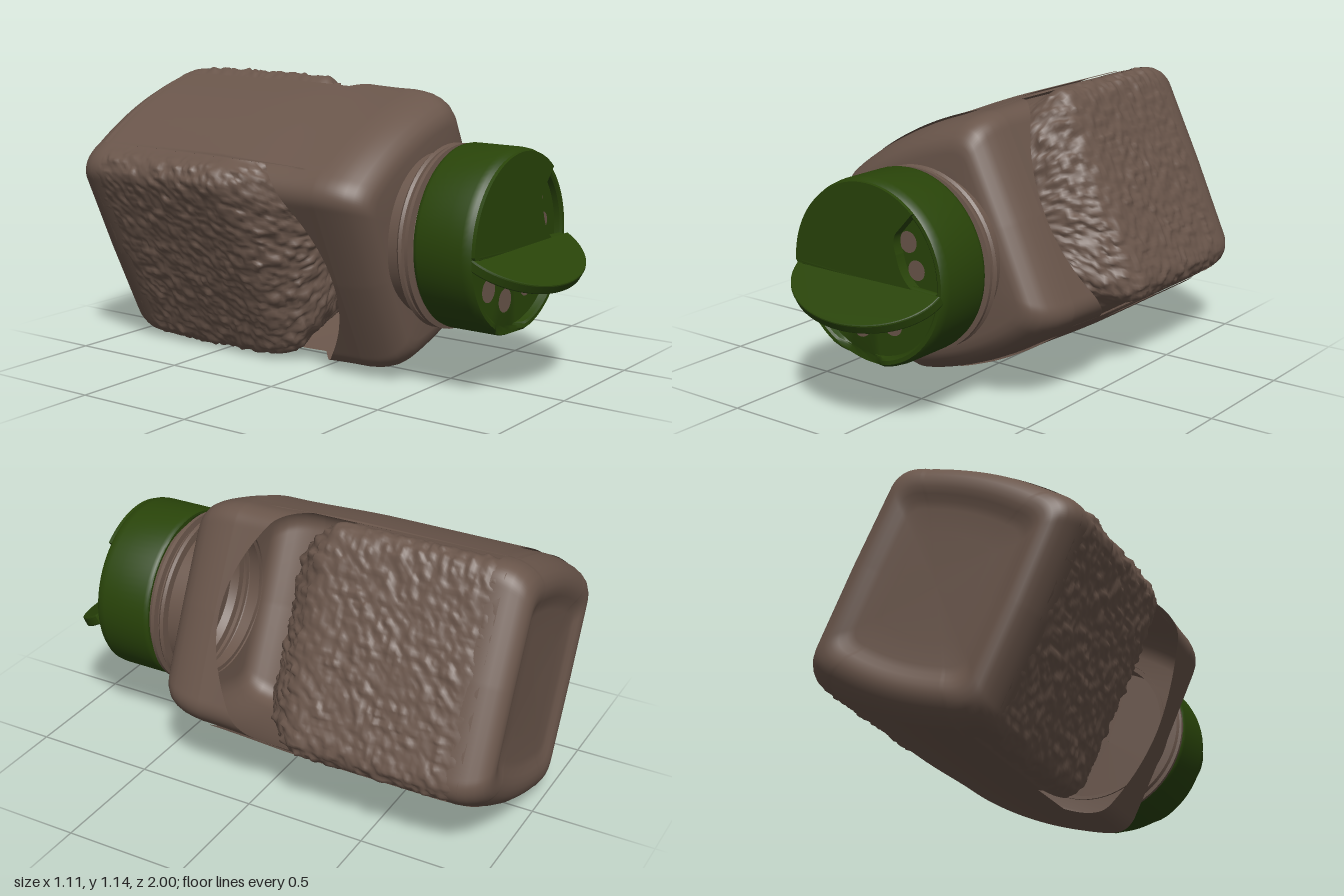
import * as THREE from 'three';
import { toCreasedNormals } from 'three/addons/utils/BufferGeometryUtils.js';

const N = 300;      // points around the bottle
const CY = 0.57;    // height of the bottle axis
const CUT = 0.29;   // half width of the top and bottom panels
const { lerp, smoothstep, degToRad } = THREE.MathUtils;

// Rounded cross-section, counter-clockwise from the middle of one side
function crossSection() {
  const s = new THREE.Shape();
  s.moveTo(0.415, 0);
  s.lineTo(0.41, 0.36);
  s.quadraticCurveTo(0.41, 0.435, 0.32, 0.455);
  s.quadraticCurveTo(0, 0.525, -0.32, 0.455);
  s.quadraticCurveTo(-0.41, 0.435, -0.41, 0.36);
  s.lineTo(-0.415, 0);
  s.lineTo(-0.41, -0.36);
  s.quadraticCurveTo(-0.41, -0.435, -0.32, -0.455);
  s.quadraticCurveTo(0, -0.525, 0.32, -0.455);
  s.quadraticCurveTo(0.41, -0.435, 0.41, -0.36);
  s.lineTo(0.415, 0);
  return s.getSpacedPoints(N).slice(0, N);
}

// Skin over rows of points; closed rows wrap around
function loft(rows, closed = true) {
  const n = rows[0].length, index = [];
  for (let i = 0; i < rows.length - 1; i++) {
    for (let j = 0; j < (closed ? n : n - 1); j++) {
      const k = (j + 1) % n;
      const a = i * n + j, b = i * n + k, c = (i + 1) * n + k, d = (i + 1) * n + j;
      index.push(a, b, c, a, c, d);
    }
  }
  const g = new THREE.BufferGeometry().setFromPoints(rows.flat());
  g.setIndex(index);
  g.computeVertexNormals();
  return g;
}

// Seeded value noise for the grainy filling
function hash(x, y, z) {
  const h = Math.sin(x * 127.1 + y * 311.7 + z * 74.7) * 43758.5453;
  return h - Math.floor(h);
}
function noise(x, y, z) {
  const X = Math.floor(x), Y = Math.floor(y), Z = Math.floor(z);
  const f = (t) => t * t * (3 - 2 * t);
  const u = f(x - X), v = f(y - Y), w = f(z - Z);
  const edge = (b, c) => lerp(hash(X, Y + b, Z + c), hash(X + 1, Y + b, Z + c), u);
  return lerp(lerp(edge(0, 0), edge(1, 0), v), lerp(edge(0, 1), edge(1, 1), v), w);
}

// Solid of revolution around z from [radius, z] pairs
function turned(points) {
  const g = new THREE.LatheGeometry(points.map((p) => new THREE.Vector2(...p)), 72);
  return g.rotateX(Math.PI / 2);
}

export function createModel() {
  const model = new THREE.Group();
  const brown = new THREE.MeshStandardMaterial({ color: 0x6a564b, side: THREE.DoubleSide });
  brown.name = 'brown';
  const green = new THREE.MeshStandardMaterial({ color: 0x294409, side: THREE.DoubleSide });
  green.name = 'green';

  const add = (parent, name, geometry, material) => {
    const m = new THREE.Mesh(geometry, material);
    m.name = name;
    parent.add(m);
    return m;
  };

  const bottle = new THREE.Group();
  bottle.name = 'bottle';
  bottle.position.y = CY;
  bottle.rotation.z = degToRad(25);
  model.add(bottle);

  const ring = crossSection();
  const isWindow = (p) => Math.abs(p.x) > CUT;
  const V = (p, s, z) => new THREE.Vector3(p.x * s, p.y * s, z);
  const taper = (z) => 1 - 0.03 * smoothstep(z, -0.25, 0.2);

  // Shell: two long panels joined by the shoulder, with an arched window on each side
  const edge = ring.map((p) => {
    if (!isWindow(p)) return -0.9;
    const d = Math.abs(p.y) + Math.max(0, 0.4 - Math.abs(p.x)) * 0.7;
    return 0.2 - 0.25 * (d / 0.53) ** 2;
  });
  const shellRows = [];
  for (let i = 0; i <= 16; i++) {
    shellRows.push(ring.map((p, k) => {
      const z = lerp(edge[k], 0.22, i / 16);
      return V(p, taper(z), z);
    }));
  }
  for (const [z, s] of [[0.26, 0.963], [0.3, 0.95], [0.34, 0.924], [0.37, 0.89], [0.395, 0.84], [0.409, 0.79], [0.415, 0.73]]) {
    shellRows.push(ring.map((p) => V(p, s, z)));
  }
  shellRows.push(ring.map((p) => V(p, 0.3 / p.length(), 0.418)));
  add(bottle, 'shell', loft(shellRows), brown);

  // Grainy filling with a domed front, tucked under the panels
  const fillRows = [];
  const grain = (p, s, z) => {
    const side = smoothstep(Math.abs(p.x), CUT - 0.01, CUT + 0.07);
    const q = V(p, s * lerp(0.965, 1.0, side), z);
    const a = noise(q.x * 30, q.y * 30, z * 30), b = noise(q.x * 60 + 9, q.y * 60, z * 60);
    const bump = smoothstep(z, -0.92, -0.78) * (0.042 * Math.abs(a - 0.5) + 0.014 * b);
    q.x *= 1 + bump * 1.5 * side;
    q.y *= 1 + bump * 1.2 * side;
    if (s < 0.95) q.z += bump - 0.012;
    return q;
  };
  for (let i = 0; i <= 60; i++) {
    const z = lerp(-0.9, -0.26, i / 60);
    fillRows.push(ring.map((p) => grain(p, 1, z)));
  }
  for (let i = 1; i <= 30; i++) {
    const t = (i / 30) * Math.PI / 2;
    const s = Math.max(0.001, Math.cos(t) ** 0.75);
    fillRows.push(ring.map((p) => grain(p, s, -0.26 + 0.26 * Math.sin(t))));
  }
  add(bottle, 'filling', loft(fillRows), brown);

  // Foot: rounded rim around a shallow dished base
  const foot = [[0.001, -0.968], [0.4, -0.97], [0.6, -0.974], [0.66, -0.98], [0.71, -0.991], [0.76, -0.999],
    [0.81, -1], [0.86, -0.994], [0.905, -0.98], [0.945, -0.957], [0.975, -0.928], [0.993, -0.9], [1, -0.87], [1, -0.85]];
  add(bottle, 'foot', loft(foot.map(([s, z]) =>
    ring.map((p) => V(p, s * (isWindow(p) ? 1.008 : 1.002), z)))), brown);

  // Slightly raised label panels with rounded corners
  const R = 0.06, half = 0.28, labelRows = [];
  for (let i = 0; i <= 12; i++) {
    const row = [];
    for (let j = 0; j <= 48; j++) {
      const x = half * Math.cos((j / 48) * Math.PI);
      const c = Math.max(0, Math.abs(x) - (half - R));
      const inset = R - Math.sqrt(Math.max(0, R * R - c * c));
      const z = lerp(-0.82 + inset, 0.23 - inset, i / 12);
      row.push(new THREE.Vector3(x, (0.49 - 0.035 * (x / 0.32) ** 2) * taper(z) + 0.007, z));
    }
    labelRows.push(row);
  }
  const labelGeometry = loft(labelRows, false);
  add(bottle, 'topLabel', labelGeometry, brown);
  add(bottle, 'bottomLabel', labelGeometry, brown).rotation.z = Math.PI;

  // Neck with two collars, sealed at its mouth
  const neckGeometry = turned([[0.318, 0.41], [0.318, 0.475], [0.35, 0.478], [0.358, 0.488], [0.35, 0.498],
    [0.335, 0.502], [0.335, 0.512], [0.358, 0.516], [0.358, 0.53], [0.33, 0.535], [0.318, 0.57], [0.001, 0.57]]);
  add(bottle, 'neck', toCreasedNormals(neckGeometry, 0.6), brown);

  // Cap with a recessed floor; the rim dips at the thumb notch
  const cap = new THREE.Group();
  cap.name = 'cap';
  cap.position.y = CY + 0.009;
  model.add(cap);
  const wall = turned([[0.338, 0.55], [0.348, 0.55], [0.354, 0.556], [0.357, 0.57], [0.357, 0.7], [0.357, 0.76], [0.354, 0.785],
    [0.345, 0.797], [0.33, 0.797], [0.322, 0.79], [0.318, 0.768], [0.001, 0.768]]);
  const w = wall.attributes.position;
  for (let i = 0; i < w.count; i++) {
    const x = w.getX(i), y = w.getY(i), z = w.getZ(i);
    if (z < 0.765 || y > -0.25 || Math.hypot(x, y) < 0.32) continue;
    const dip = 1 - smoothstep(Math.abs(x + 0.05), 0.06, 0.12);
    w.setZ(i, lerp(z, 0.766, dip));
  }
  add(cap, 'capWall', toCreasedNormals(wall, 0.6), green);

  // Fixed upper half of the cap, cut away around the small pouring holes
  const plate = new THREE.Shape();
  plate.moveTo(-0.345, -0.01);
  plate.absarc(0, 0, 0.345, Math.PI, 0.86, true);
  plate.lineTo(0.15, 0.18);
  plate.quadraticCurveTo(0.13, 0.15, 0.15, 0.1);
  plate.quadraticCurveTo(0.17, 0, 0.25, -0.03);
  plate.lineTo(0.25, -0.05);
  plate.lineTo(-0.34, -0.01);
  const plateGeometry = new THREE.ExtrudeGeometry(plate, { depth: 0.045, bevelEnabled: false, curveSegments: 40 });
  add(cap, 'fixedPlate', plateGeometry, green).position.z = 0.766;

  // Open half-moon flap, tipped forward on its hinge
  const moon = new THREE.Shape();
  moon.moveTo(-0.342, 0);
  moon.absellipse(0, 0, 0.342, 0.228, Math.PI, Math.PI * 2, false, 0);
  moon.lineTo(-0.342, 0);
  const flapGeometry = new THREE.ExtrudeGeometry(moon, {
    depth: 0.03, bevelEnabled: true, bevelSize: 0.006, bevelThickness: 0.006, bevelSegments: 2, curveSegments: 40,
  });
  const flap = add(cap, 'flap', flapGeometry, green);
  flap.position.set(0.003, -0.04, 0.782);
  flap.rotation.set(-1.04, 0, -0.05);

  // Hinge bar
  const hinge = add(cap, 'hinge', new THREE.CylinderGeometry(0.022, 0.022, 0.64, 12), green);
  hinge.rotation.z = Math.PI / 2 - 0.05;
  hinge.position.set(0.005, -0.02, 0.79);

  // Pouring holes
  const holes = [[-0.18, -0.155, 0.046], [-0.06, -0.215, 0.046], [0.095, -0.18, 0.046],
    [0.175, 0.145, 0.04], [0.213, 0.045, 0.038]];
  for (const [x, y, r] of holes) {
    add(cap, 'pouringHole', new THREE.CircleGeometry(r, 28), brown).position.set(x, y, 0.772);
  }
  return model;
}
